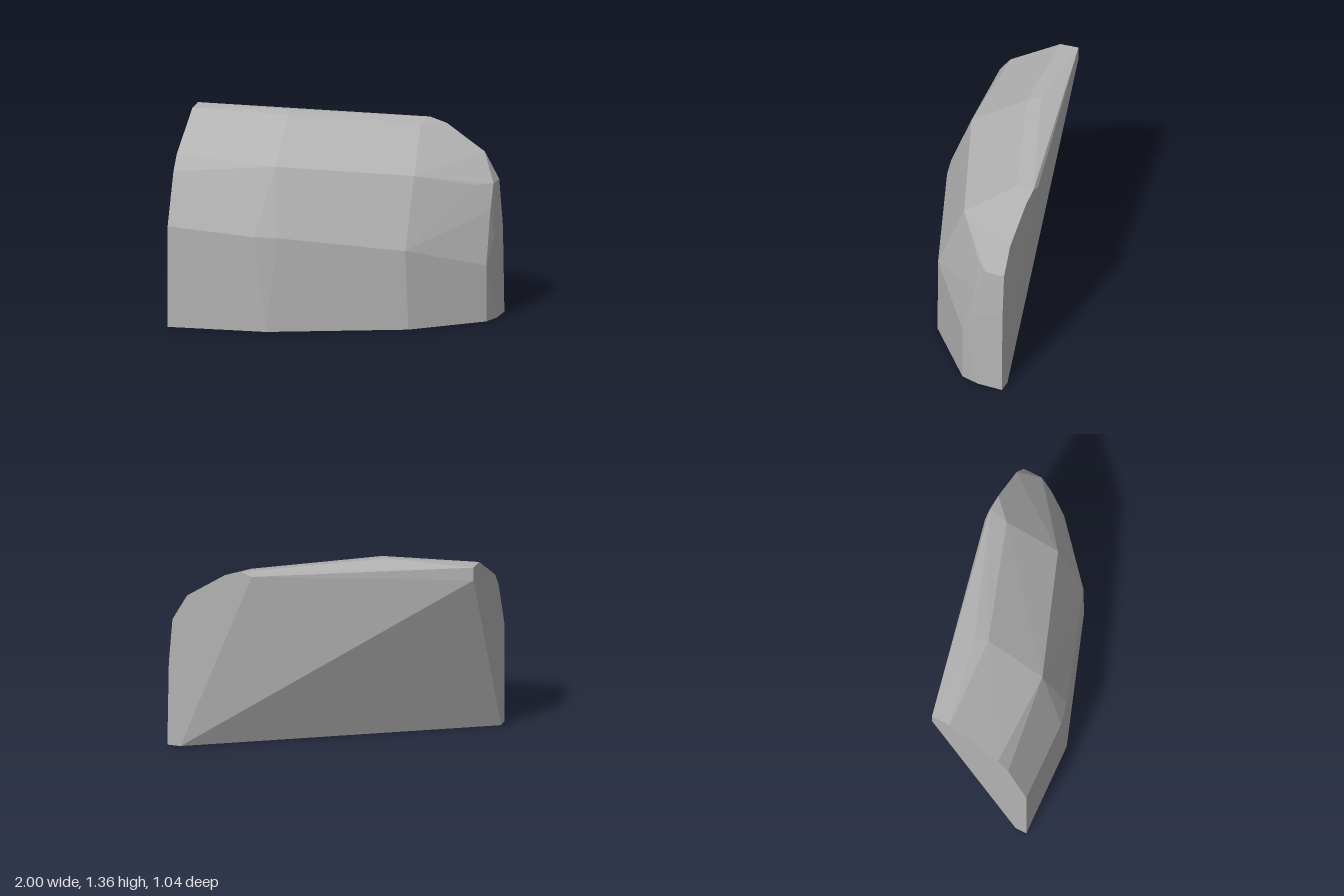
import * as THREE from 'three';
import { ConvexGeometry } from 'three/addons/geometries/ConvexGeometry.js';

export function createModel() {
  const group = new THREE.Group();
  group.name = 'facetedBlock';
  const stone = new THREE.MeshStandardMaterial({ color: 0xb2b2b2 });
  stone.name = 'stone grey';

  // Corner points of the faceted convex body, grouped by region
  const regions = {
    base: [
      [-1, 0, 0.52], [-0.34, 0, 0.475], [0.54, 0, 0.145], [0.965, 0, -0.225],
      [1, 0, -0.35], [1, 0, -0.525], [0.91, 0, -0.525], [-1, 0, 0.44],
    ],
    waist: [
      [-1, 0.68, 0.52], [-0.42, 0.635, 0.478], [-0.27, 0.63, 0.44],
      [0.52, 0.53, 0.15], [0.965, 0.38, -0.225],
    ],
    shoulder: [
      [-1, 1.02, 0.385], [-1, 1.12, 0.31], [-0.33, 1.075, 0.29], [0.525, 0.995, -0.04],
      [0.865, 0.9, -0.295], [0.965, 0.73, -0.32], [0.985, 0.55, -0.35], [0.965, 0.895, -0.39],
    ],
    crown: [
      [-1, 1.35, -0.05], [-0.35, 1.335, -0.1], [0.465, 1.26, -0.39],
      [-1, 1.36, -0.18], [-0.4, 1.355, -0.18],
    ],
    back: [
      [-1, 1.27, -0.18], [0.42, 1.26, -0.525], [0.49, 1.285, -0.525], [0.605, 1.25, -0.525],
      [0.865, 1.075, -0.525], [0.965, 0.895, -0.525], [0.99, 0.58, -0.525],
    ],
  };
  const points = Object.values(regions).flat().map((p) => new THREE.Vector3(...p));

  const body = new THREE.Mesh(new ConvexGeometry(points), stone);
  body.name = 'body';
  group.add(body);
  return group;
}
